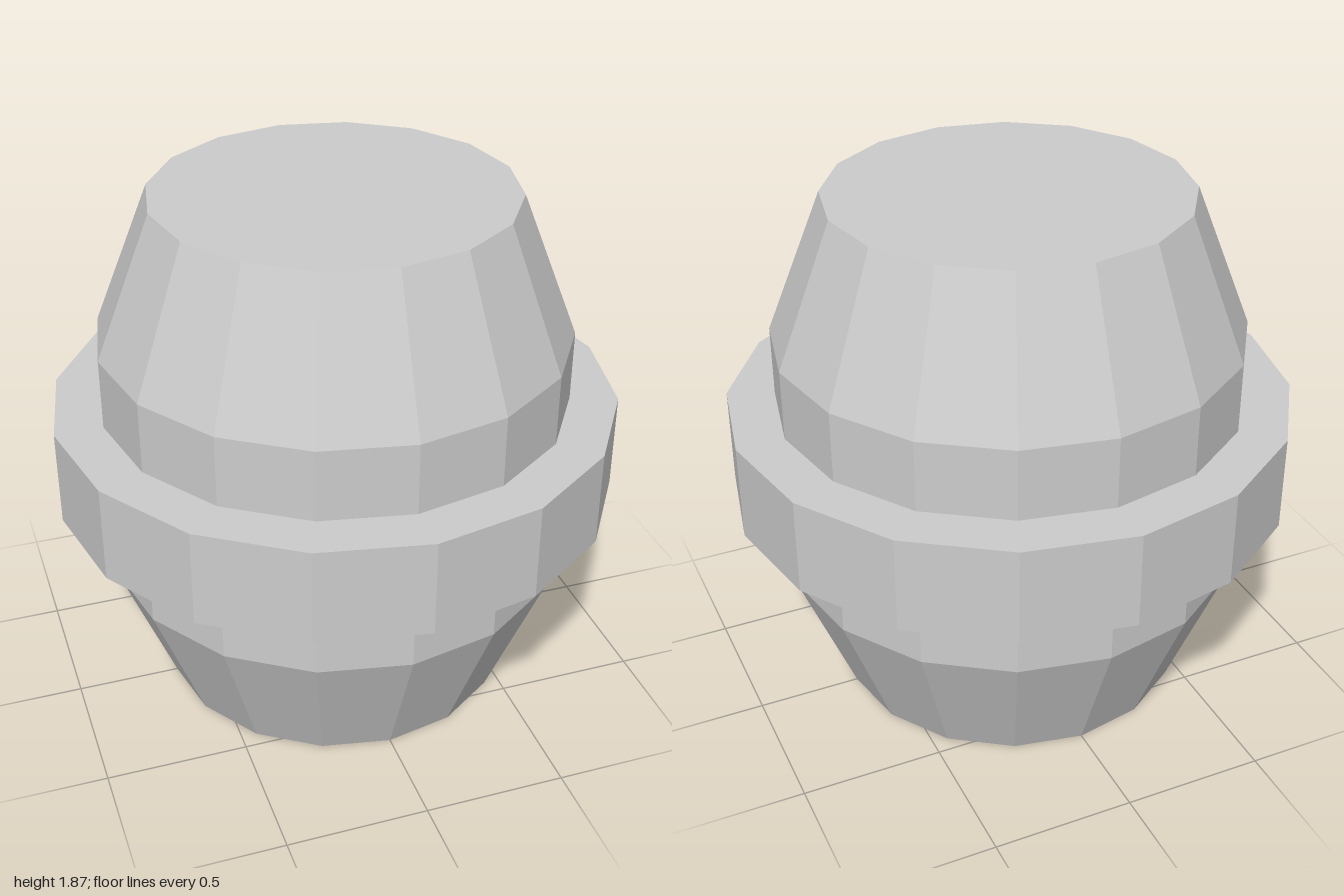
import * as THREE from 'three';

const SIDES = 16;

// Faceted surface of revolution from [radius, y] points, listed bottom to top
function facetedLathe(name, profile, material) {
  const points = profile.map(([r, y]) => new THREE.Vector2(r, y));
  const geometry = new THREE.LatheGeometry(points, SIDES).toNonIndexed();
  geometry.computeVertexNormals();
  const mesh = new THREE.Mesh(geometry, material);
  mesh.name = name;
  return mesh;
}

// Flat end disc, facing up or down
function endCap(name, radius, y, facing, material) {
  const mesh = new THREE.Mesh(new THREE.CircleGeometry(radius, SIDES), material);
  mesh.rotation.x = -facing * Math.PI / 2;
  mesh.position.y = y;
  mesh.name = name;
  return mesh;
}

export function createModel() {
  const grey = new THREE.MeshStandardMaterial({ color: 0xcccccc });
  grey.name = 'plain grey';

  const height = 1.87, endRadius = 0.63, bodyRadius = 0.83;
  const model = new THREE.Group();
  model.name = 'bandedBarrel';

  // Barrel wall: tapered ends around a straight middle
  model.add(facetedLathe('barrelWall', [
    [endRadius, 0], [bodyRadius, 0.505], [bodyRadius, 1.365], [endRadius, height],
  ], grey));

  // Closed ends
  model.add(endCap('topCap', endRadius, height, 1, grey));
  model.add(endCap('bottomCap', endRadius, 0, -1, grey));

  // Square-edged band around the middle
  model.add(facetedLathe('middleBand', [
    [bodyRadius, 0.765], [1, 0.765], [1, 1.11], [bodyRadius, 1.11],
  ], grey));

  return model;
}
